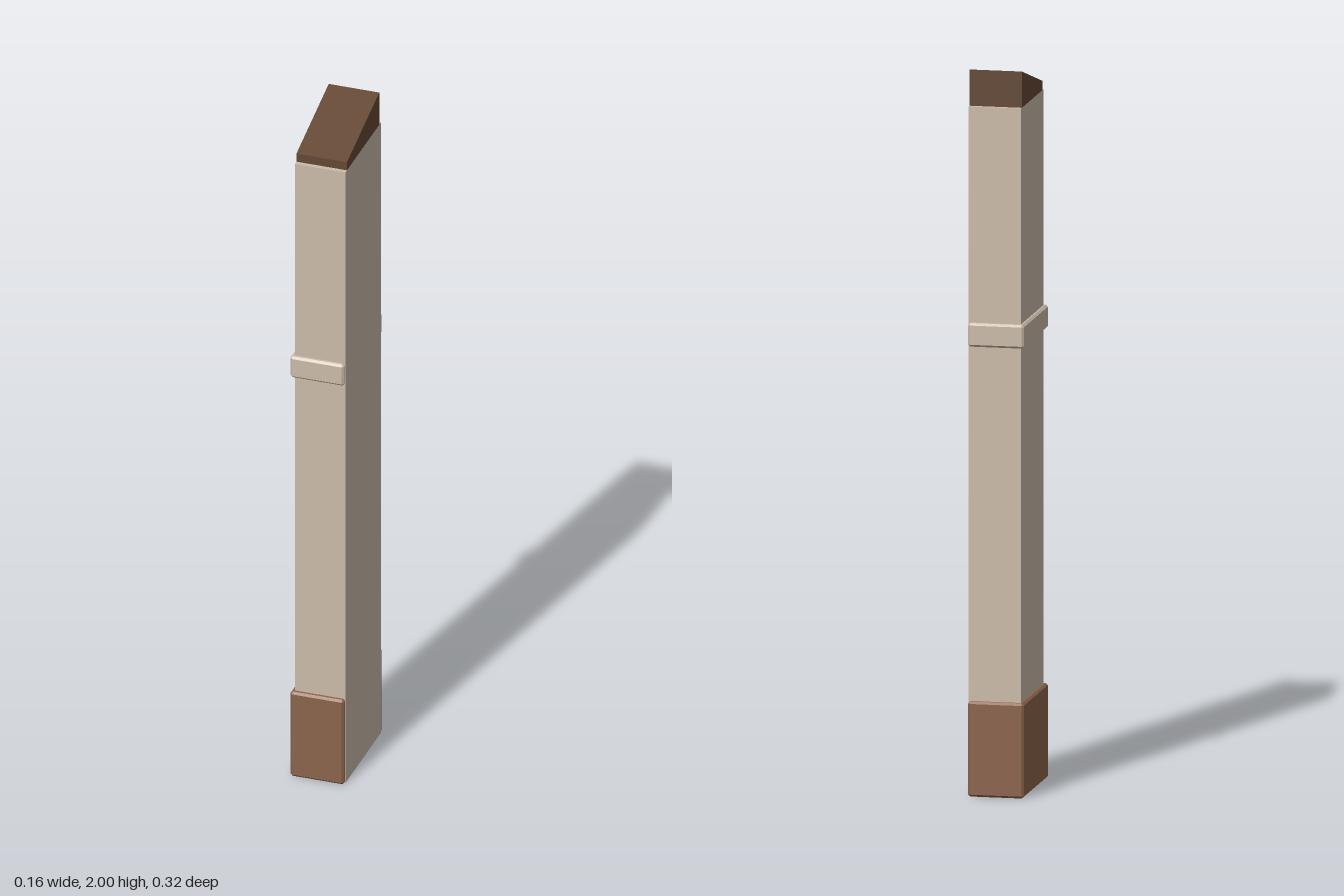
import * as THREE from 'three';
import { ConvexGeometry } from 'three/addons/geometries/ConvexGeometry.js';

// Box between two corners with every edge chamfered by b
function chamferedBox(min, max, b) {
  const points = [];
  for (let i = 0; i < 8; i++) {
    const sign = [i & 1, i & 2, i & 4].map((bit) => (bit ? 1 : -1));
    for (let face = 0; face < 3; face++) {
      const p = sign.map((s, axis) => (s > 0 ? max[axis] : min[axis]) - (axis === face ? 0 : s * b));
      points.push(new THREE.Vector3(...p));
    }
  }
  return new ConvexGeometry(points);
}

export function createModel() {
  const group = new THREE.Group();
  const plaster = new THREE.MeshStandardMaterial({ name: 'tan plaster', color: 0xcbbcaa });
  const baseBrown = new THREE.MeshStandardMaterial({ name: 'base brown', color: 0x8b644c });
  const capBrown = new THREE.MeshStandardMaterial({ name: 'dark cap brown', color: 0x644835 });

  const add = (name, geometry, material) => {
    const mesh = new THREE.Mesh(geometry, material);
    mesh.name = name;
    group.add(mesh);
    return mesh;
  };

  const left = 0.077; // flat side of the pilaster
  const right = -0.068;
  const width = left - right;

  // Shaft, flush with the flat side
  const shaft = add('shaft', new THREE.BoxGeometry(width, 1.899, 0.292), plaster);
  shaft.position.set((left + right) / 2, 0.9505, 0);

  // Chamfered base block and band, standing out on three sides
  const trim = (y0, y1) => chamferedBox([-0.078, y0, -0.159], [left - 0.0006, y1, 0.159], 0.006);
  add('base', trim(0, 0.262), baseBrown);
  add('band', trim(1.24, 1.305), plaster);

  // Sloping cap, higher at the back
  const profile = new THREE.Shape([
    new THREE.Vector2(-0.133, 1.9),
    new THREE.Vector2(0.133, 1.9),
    new THREE.Vector2(0.133, 2),
    new THREE.Vector2(-0.133, 1.925),
  ]);
  const cap = new THREE.ExtrudeGeometry(profile, { depth: width, bevelEnabled: false });
  cap.rotateY(Math.PI / 2); // profile x becomes -z, depth becomes +x
  cap.translate(right, 0, 0);
  add('cap', cap, capBrown);

  return group;
}
